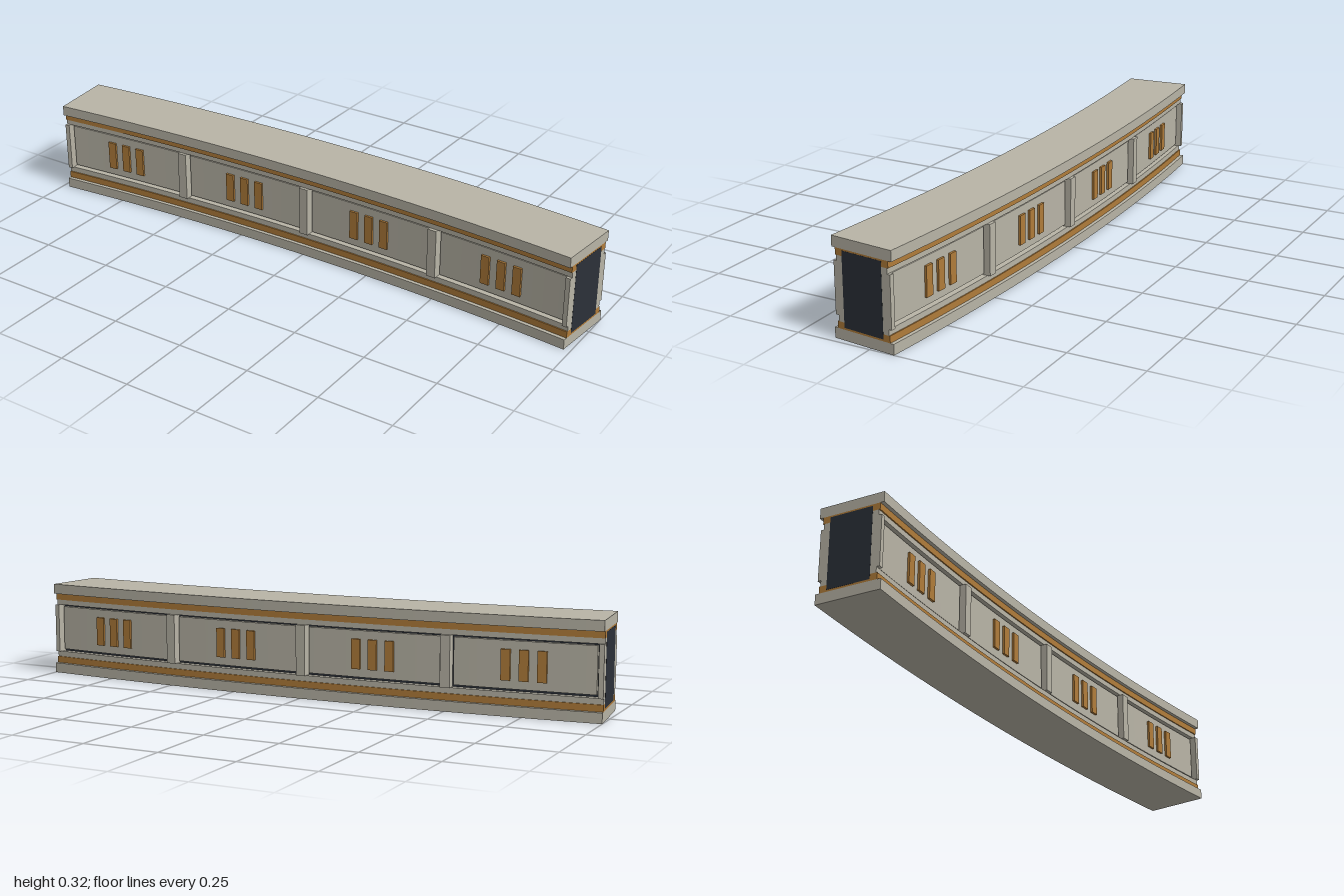
import * as THREE from 'three';

const R = 10.017;         // radius of the outer (back) edge
const HALF = 0.1;         // half of the swept angle
const DEPTH = 0.218;      // full wall depth
const ZC = R - 0.1335;    // centre of curvature on z

const stone = new THREE.MeshStandardMaterial({ color: 0xb8b4a6 });
const copper = new THREE.MeshStandardMaterial({ color: 0xb07c3a });
const dark = new THREE.MeshStandardMaterial({ color: 0x2b3038 });

// Box bent round the arc: angles a0..a1, heights y0..y1, depth d0..d1 measured from the back edge
function arcBox(name, material, a0, a1, y0, y1, d0, d1) {
  const segments = Math.max(1, Math.round((a1 - a0) / 0.00625));
  const g = new THREE.BoxGeometry(a1 - a0, y1 - y0, d1 - d0, segments, 1, 1);
  g.translate((a0 + a1) / 2, (y0 + y1) / 2, (d0 + d1) / 2);
  const p = g.attributes.position, n = g.attributes.normal;
  for (let i = 0; i < p.count; i++) {
    const a = p.getX(i), r = R - p.getZ(i), s = Math.sin(a), c = Math.cos(a);
    p.setXYZ(i, r * s, p.getY(i), ZC - r * c);
    const nx = n.getX(i), nz = n.getZ(i);
    n.setXYZ(i, nx * c - nz * s, n.getY(i), nx * s + nz * c);
  }
  const mesh = new THREE.Mesh(g, material);
  mesh.name = name;
  return mesh;
}

export function createModel() {
  const model = new THREE.Group();
  model.name = 'curvedWall';

  // Full-length layer, inset equally at front and back
  const layer = (name, mat, y0, y1, inset, half = HALF) =>
    model.add(arcBox(name, mat, -half, half, y0, y1, inset, DEPTH - inset));

  // Slabs, copper trims and ledges, bottom and top
  layer('bottomSlab', stone, 0, 0.034, 0);
  layer('topSlab', stone, 0.282, 0.316, 0);
  layer('bottomTrim', copper, 0.034, 0.056, 0.0125);
  layer('topTrim', copper, 0.26, 0.282, 0.0125);
  layer('bottomLedge', stone, 0.056, 0.075, 0.0165);
  layer('topLedge', stone, 0.242, 0.26, 0.0165);

  // Dark core, its ends just proud of the ledges
  layer('core', dark, 0.04, 0.277, 0.037, HALF + 0.00004);

  // Part repeated on the back and the front face, from inset d0 to d1
  const bothFaces = (name, mat, a0, a1, y0, y1, d0, d1) => {
    model.add(arcBox(name + 'Back', mat, a0, a1, y0, y1, d0, d1));
    model.add(arcBox(name + 'Front', mat, a0, a1, y0, y1, DEPTH - d1, DEPTH - d0));
  };

  // Posts between the bays, cut in half at the ends
  const bay = HALF / 2, postHalf = 0.0016;
  for (let i = -2; i <= 2; i++) {
    const a = i * bay;
    bothFaces('post', stone, Math.max(-HALF, a - postHalf), Math.min(HALF, a + postHalf),
      0.075, 0.242, 0.006, 0.038);
  }

  // Recessed panels, each with three copper slats
  for (let i = 0; i < 4; i++) {
    const mid = (i - 1.5) * bay, panelHalf = bay / 2 - postHalf - 0.0007;
    bothFaces('panel', stone, mid - panelHalf, mid + panelHalf, 0.083, 0.235, 0.024, 0.038);
    for (let k = -1; k <= 1; k++) {
      const a = mid + k * 0.0058;
      bothFaces('slat', copper, a - 0.0015, a + 0.0015, 0.11, 0.208, 0.0165, 0.026);
    }
  }
  return model;
}
